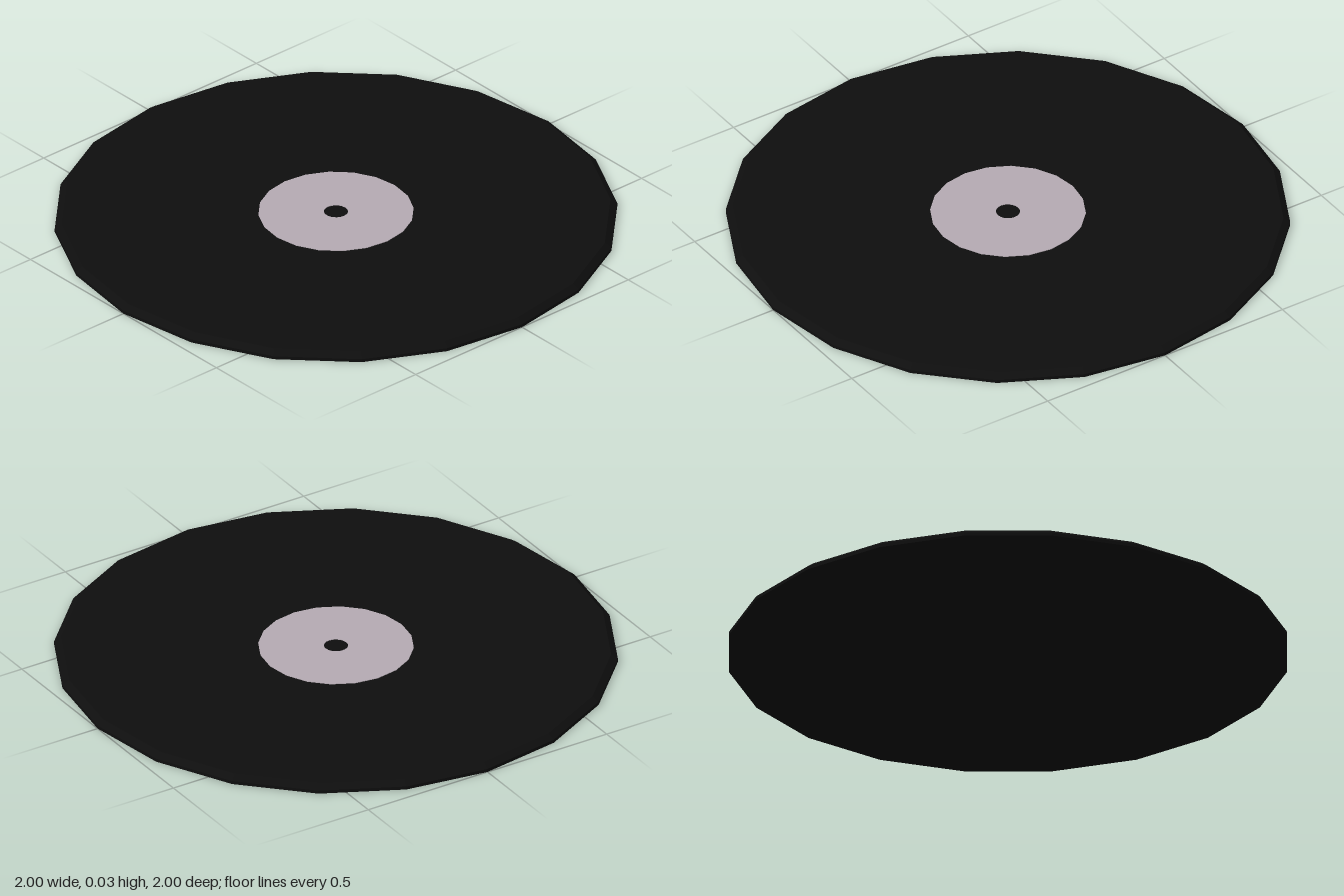
import * as THREE from 'three';

const SIDES = 20;

// Faceted turned part from [radius, height] pairs, listed from the bottom up
function turned(name, profile, color) {
  const points = profile.map(([r, y]) => new THREE.Vector2(r, y));
  const material = new THREE.MeshStandardMaterial({ color, flatShading: true });
  const mesh = new THREE.Mesh(new THREE.LatheGeometry(points, SIDES), material);
  mesh.name = name;
  return mesh;
}

export function createModel() {
  const group = new THREE.Group();
  group.name = 'record';

  // Flat disc with a bevelled upper rim
  group.add(turned('disc', [[0, 0], [1, 0], [1, 0.012], [0.976, 0.03], [0, 0.03]], 0x0e0e0e));

  // Paper label ring, leaving the dark spindle hole open
  group.add(turned('label', [[0.276, 0.03], [0.276, 0.032], [0.043, 0.032], [0.043, 0.03]], 0xb4aab2));

  return group;
}
